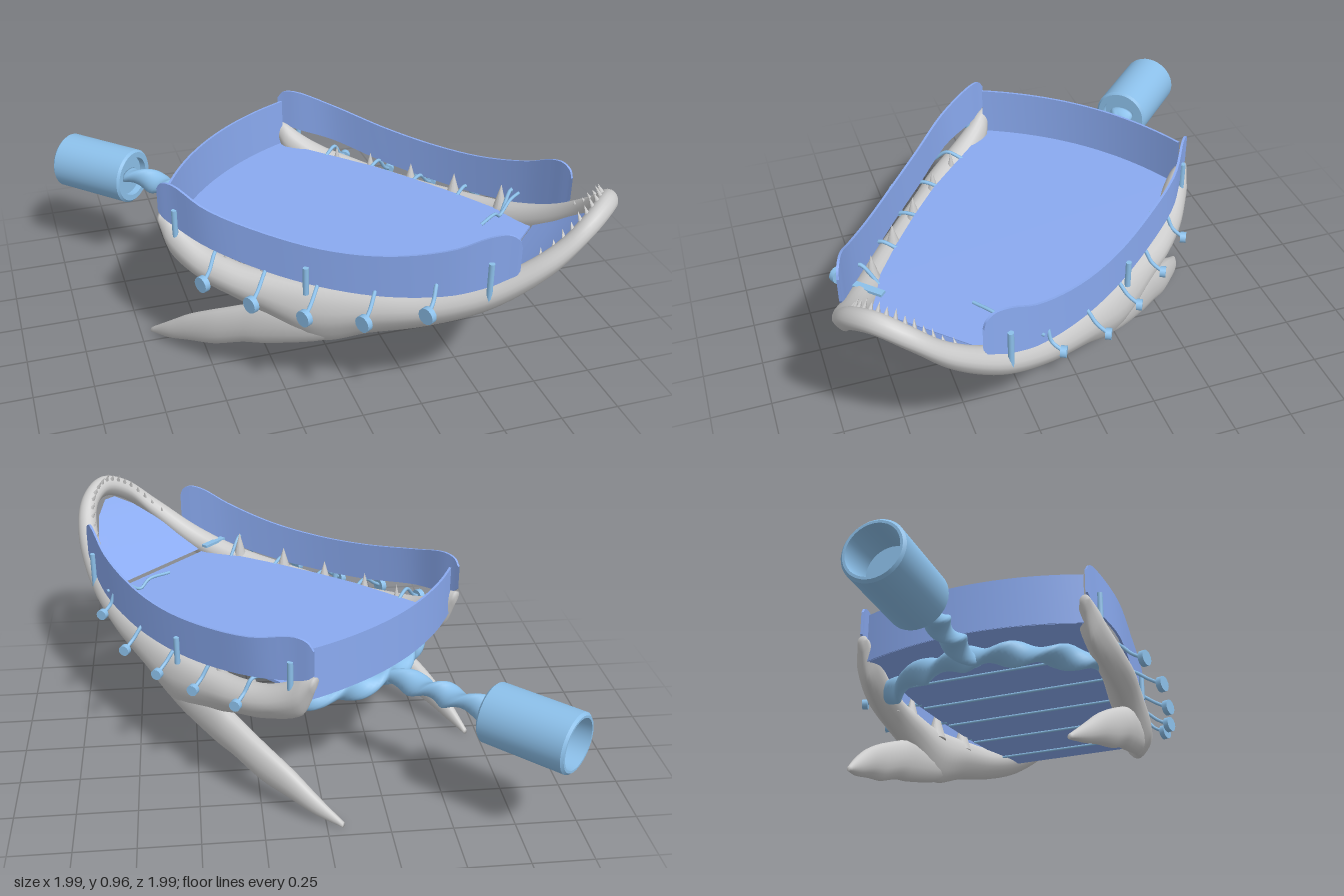
import * as THREE from 'three';
import { toCreasedNormals } from 'three/addons/utils/BufferGeometryUtils.js';

const V = (x, y, z) => new THREE.Vector3(x, y, z);
const bone = new THREE.MeshStandardMaterial({ color: 0xcccccc });
const plate = new THREE.MeshStandardMaterial({ color: 0x8aaaf0, side: THREE.DoubleSide });
const metal = new THREE.MeshStandardMaterial({ color: 0x8cc0ea });

function gridGeometry(points, columns, wrap) {
  const index = [], rows = points.length / columns;
  for (let i = 0; i < rows - 1; i++) {
    for (let j = 0; j < columns - (wrap ? 0 : 1); j++) {
      const a = i * columns + j, b = i * columns + (j + 1) % columns;
      index.push(a, a + columns, b, a + columns, b + columns, b);
    }
  }
  const g = new THREE.BufferGeometry().setFromPoints(points);
  g.setIndex(index);
  g.computeVertexNormals();
  return g;
}

// Sweeps an upright ellipse, narrowed below by taper; each row is [x, y, z, halfWidth, halfHeight]
function loft(rows, steps, { sides = 16, twist = 0, taper = 0 } = {}) {
  const path = new THREE.CatmullRomCurve3(rows.map(r => V(r[0], r[1], r[2])));
  const size = new THREE.CatmullRomCurve3(rows.map(r => V(r[3], r[4], 0)));
  const pts = [];
  for (let i = -1; i <= steps + 1; i++) {
    const t = Math.min(Math.max(i / steps, 0), 1);
    const k = i < 0 || i > steps ? 0 : 1; // collapsed rings close the ends
    const c = path.getPoint(t), s = size.getPoint(t);
    const side = path.getTangent(t).cross(V(0, 1, 0)).normalize();
    const co = Math.cos(twist * t), si = Math.sin(twist * t);
    for (let j = 0; j < sides; j++) {
      const a = j / sides * Math.PI * 2;
      const u = k * s.x * Math.cos(a) * (1 + taper * Math.min(Math.sin(a), 0)), v = k * s.y * Math.sin(a);
      pts.push(c.clone().addScaledVector(side, u * co - v * si).add(V(0, u * si + v * co, 0)));
    }
  }
  return gridGeometry(pts, sides, true);
}

// Thin upright wall between a lower and an upper curve
function wallGeometry(low, high, steps, thickness) {
  const pts = [];
  for (let i = 0; i <= steps; i++) {
    const t = i / steps, a = low.getPoint(t), b = high.getPoint(t);
    const side = low.getTangent(t).cross(V(0, 1, 0)).normalize().multiplyScalar(thickness / 2);
    pts.push(a.clone().sub(side), a.clone().add(side), b.clone().add(side), b.clone().sub(side));
  }
  return toCreasedNormals(gridGeometry(pts, 4, true), .7);
}

const rod = (pts, r) =>
  new THREE.TubeGeometry(new THREE.CatmullRomCurve3(pts), (pts.length - 1) * 6, r, 8);

export function createModel() {
  const group = new THREE.Group();
  const add = (name, geometry, material) => {
    const m = new THREE.Mesh(geometry, material);
    m.name = name;
    group.add(m);
    return m;
  };

  // Jaw: one rail from the left rear, round the raised tip, to the right rear
  const half = [
    [-.487, .635, -.425, .022, .025], [-.49, .555, -.36, .05, .085], [-.51, .485, -.2, .065, .075],
    [-.515, .458, -.06, .068, .077], [-.502, .43, .08, .07, .095], [-.481, .395, .297, .07, .13],
    [-.438, .445, .51, .068, .1], [-.384, .5, .735, .062, .08], [-.31, .59, .95, .055, .07],
    [-.213, .735, 1.137, .045, .06], [-.118, .845, 1.222, .04, .052],
  ];
  const flip = rows => rows.map(([x, ...rest]) => [-x, ...rest]);
  const tip = [0, .89, 1.25, .04, .048];
  add('jawRail', loft([...half, tip, ...flip(half).reverse()], 140, { sides: 20, taper: .4 }), bone);

  // Rear prongs growing out of the rails, curving down and inward
  const prong = [
    [-.438, .415, .51, .035, .06], [-.481, .345, .297, .045, .085], [-.502, .288, .076, .048, .1],
    [-.505, .25, -.03, .047, .09], [-.505, .19, -.165, .043, .086], [-.492, .13, -.31, .036, .066],
    [-.477, .073, -.42, .027, .044], [-.449, .013, -.54, .01, .012],
  ];
  add('prongRight', loft(prong, 48), bone);
  add('prongLeft', loft(flip(prong), 48), bone);

  // Large teeth on the rails: [x, z, radius, tip height]
  const teeth = [[.49, -.11, .032, .6], [.483, .064, .04, .61], [.455, .276, .046, .62],
    [.42, .495, .048, .64], [.37, .728, .042, .67]];
  for (const s of [-1, 1]) {
    for (const [x, z, r, top] of teeth) {
      add('tooth', new THREE.ConeGeometry(r, .16, 12), bone).position.set(s * x, top - .08, z);
    }
  }

  // Small front teeth on the inner edge of the tip
  const rim = new THREE.CatmullRomCurve3([...half.slice(7), tip, ...flip(half.slice(7)).reverse()]
    .map(r => V(r[0], r[1], r[2])));
  for (let i = 0; i < 17; i++) {
    const p = rim.getPoint(.22 + .56 * i / 16);
    const inward = V(-p.x, 0, .98 - p.z).normalize();
    const lean = V(0, 1, 0).addScaledVector(inward, .6).normalize();
    const t = add('smallTooth', new THREE.ConeGeometry(.014, i % 2 ? .045 : .06, 6), bone);
    t.position.copy(p).addScaledVector(inward, .028).add(V(0, .044, 0));
    t.quaternion.setFromUnitVectors(V(0, 1, 0), lean);
  }

  // Floor with a bowed rear edge
  const side = [[.46, -.1], [.455, .1], [.43, .3], [.395, .51], [.345, .735], [.285, .896]];
  const floor = new THREE.Shape();
  floor.moveTo(-.465, -.397);
  floor.quadraticCurveTo(0, -.57, .465, -.397);
  side.forEach(([x, z]) => floor.lineTo(x, z));
  side.reverse().forEach(([x, z]) => floor.lineTo(-x, z));
  const floorGeometry = new THREE.ExtrudeGeometry(floor, { depth: .012, bevelEnabled: false, curveSegments: 24 });
  floorGeometry.rotateX(Math.PI / 2).translate(0, .56, 0);
  add('floor', floorGeometry, plate);

  // Sloping nose panel that fills the tip
  const nose = [];
  for (const [x, y, z] of [[.285, .57, .908], [.24, .64, 1.01], [.18, .72, 1.105], [.11, .79, 1.175], [.03, .84, 1.215]]) {
    for (let j = 0; j <= 8; j++) nose.push(V(x * (j / 4 - 1), y, z));
  }
  add('nosePanel', gridGeometry(nose, 9), plate);

  // Rear wall
  const arc = y => new THREE.QuadraticBezierCurve3(V(-.475, y, -.393), V(0, y, -.567), V(.475, y, -.393));
  add('rearWall', wallGeometry(arc(.55), arc(.77), 24, .01), plate);

  // Curved side walls: [x, z, bottom, top]
  const wall = [
    [.495, -.424, .67, .775], [.5, -.4, .65, .805], [.509, -.34, .63, .815], [.544, -.163, .6, .77],
    [.53, .106, .555, .725], [.502, .361, .54, .71], [.456, .6, .55, .73], [.396, .82, .59, .79],
    [.346, .94, .635, .85], [.318, .997, .66, .86], [.303, 1.03, .69, .84], [.298, 1.04, .71, .81],
  ];
  for (const s of [-1, 1]) {
    const [low, high] = [2, 3].map(k => new THREE.CatmullRomCurve3(wall.map(w => V(s * w[0], w[k], w[1]))));
    add('sideWall', wallGeometry(low, high, 50, .01), plate);

    // Posts holding the wall
    for (const [x, z, y0, y1] of [[.522, -.33, .58, .71], [.528, .27, .5, .62], [.357, .95, .58, .745]]) {
      add('post', new THREE.CylinderGeometry(.012, .012, y1 - y0, 10), metal)
        .position.set(s * x, (y0 + y1) / 2, z);
    }
  }

  // Bent bracket on the left and short cleat on the right, by the nose panel
  add('bracket', rod([V(.09, .62, .745), V(.2, .62, .765), V(.25, .59, .77), V(.32, .63, .785), V(.42, .63, .8)], .007), metal);
  add('cleat', new THREE.BoxGeometry(.13, .012, .03), metal).position.set(-.31, .61, .845);

  // Hooked pins with round heads: [z, head x on right, head x on left, head height]
  const pins = [[-.13, .643, .615, .49], [.1, .658, .615, .475], [.318, .629, .601, .465],
    [.545, .58, .566, .485], [.77, .509, .481, .55]];
  pins.forEach(([z, right, left, y], i) => {
    const inner = teeth[i][0] - .045;
    for (const [s, x, r] of [[-1, right, .034], [1, left, .023]]) {
      add('pin', rod([V(s * inner, .55, z - .02), V(s * (inner + .08), y + .085, z - .01),
        V(s * (x - .05), y + .03, z), V(s * x, y, z)], .008), metal);
      const head = add('pinHead', new THREE.CylinderGeometry(r, r, .024, 14), metal);
      head.position.set(s * x, y, z);
      head.rotation.set(0, s * .3, Math.PI / 2);
    }
    // Cross rod under the floor
    add('crossRod', rod([V(-inner, .54, z), V(inner, .54, z)], .006), metal);
  });

  // Twisted crossbar bowed to the rear, and twisted tow bar
  const bar = [-.48, -.25, 0, .25, .48].map(x => [x, .47, -.42 + x * x * .95, .055, .03]);
  add('twistedCrossbar', loft(bar, 90, { twist: Math.PI * 5 }), metal);
  const tow = [-.4, -.6, -.75, -.94].map((z, i) => [0, .46 + i * .004, z, .055, .03]);
  add('twistedTowBar', loft(tow, 60, { twist: Math.PI * 3 }), metal);

  // Drum at the rear, hollow behind and recessed in front
  const drum = new THREE.LatheGeometry([[0, .15], [.1, .15], [.105, 0], [.115, 0], [.125, .01], [.125, .365],
    [.115, .375], [.09, .375], [.09, .345], [0, .345]].map(p => new THREE.Vector2(...p)), 36);
  drum.rotateX(Math.PI / 2).translate(0, .47, -1.287);
  add('drum', toCreasedNormals(drum, .5), metal);

  group.rotation.y = Math.PI / 4;
  const model = new THREE.Group();
  model.add(group);
  model.name = 'jawSled';
  return model;
}
